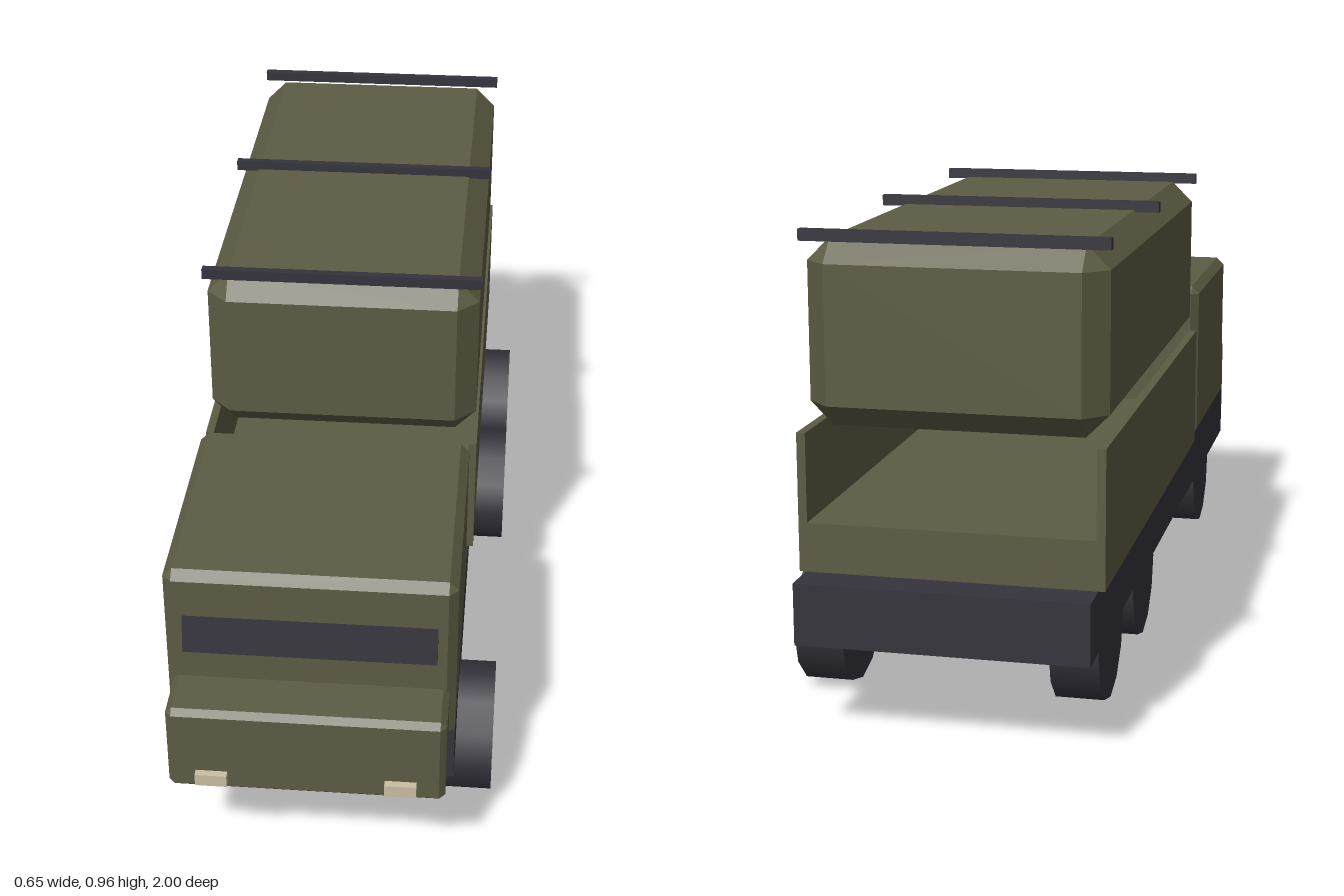
import * as THREE from 'three';
import { ConvexGeometry } from 'three/addons/geometries/ConvexGeometry.js';

const mat = (name, color) => {
  const m = new THREE.MeshStandardMaterial({ color });
  m.name = name;
  return m;
};

// Box from min to max corner
function box(x0, x1, y0, y1, z0, z1) {
  return new THREE.BoxGeometry(x1 - x0, y1 - y0, z1 - z0)
    .translate((x0 + x1) / 2, (y0 + y1) / 2, (z0 + z1) / 2);
}

// Box from min to max corner with every edge cut at 45 degrees
function chamferBox(x0, x1, y0, y1, z0, z1, c) {
  const pts = [];
  for (const [x, dx] of [[x0, c], [x1, -c]])
    for (const [y, dy] of [[y0, c], [y1, -c]])
      for (const [z, dz] of [[z0, c], [z1, -c]])
        pts.push(
          new THREE.Vector3(x, y + dy, z + dz),
          new THREE.Vector3(x + dx, y, z + dz),
          new THREE.Vector3(x + dx, y + dy, z));
  return new ConvexGeometry(pts);
}

export function createModel() {
  const truck = new THREE.Group();
  truck.name = 'cargoTruck';
  const olive = mat('olive paint', 0x5d5c44);
  const dark = mat('dark grey', 0x35343d);
  const lamp = mat('lamp cream', 0xc9bfa3);

  const add = (name, geometry, material) => {
    const mesh = new THREE.Mesh(geometry, material);
    mesh.name = name;
    truck.add(mesh);
    return mesh;
  };

  // Chassis, cab and bonnet
  add('chassis', box(-0.314, 0.25, 0.188, 0.309, -1, 0.868), dark);
  add('cab', chamferBox(-0.314, 0.25, 0.29, 0.664, 0.364, 0.876, 0.018), olive);
  add('bonnet', chamferBox(-0.302, 0.238, 0.226, 0.419, 0.85, 0.985, 0.012), olive);

  // Leaning windscreen
  const windscreen = add('windscreen', new THREE.BoxGeometry(0.491, 0.077, 0.009), dark);
  windscreen.position.set(-0.032, 0.528, 0.882);
  windscreen.rotation.x = -0.15;

  // Headlights
  for (const x of [-0.216, 0.152])
    add('headlight', box(x - 0.031, x + 0.031, 0.249, 0.275, 0.975, 1), lamp);

  // Open cargo bed
  add('bedFloor', box(-0.31, 0.245, 0.305, 0.405, -0.925, 0.25), olive);
  add('rightSideBoard', box(-0.327, -0.31, 0.309, 0.579, -0.925, 0.25), olive);
  add('leftSideBoard', box(0.245, 0.262, 0.309, 0.579, -0.925, 0.25), olive);

  // Canopy with three roof bars
  add('canopy', chamferBox(-0.32, 0.257, 0.58, 0.939, -0.897, 0.23, 0.045), olive);
  for (const z of [0.2, -0.338, -0.88])
    add('roofBar', box(-0.327, 0.262, 0.935, 0.957, z - 0.009, z + 0.009), dark);

  // Three axles of wheels
  const wheel = new THREE.CylinderGeometry(0.135, 0.135, 0.098, 12).rotateZ(Math.PI / 2);
  for (const z of [0.645, -0.264, -0.656])
    for (const [name, x] of [['rightWheel', -0.241], ['leftWheel', 0.276]])
      add(name, wheel, dark).position.set(x, 0.135, z);

  return truck;
}
